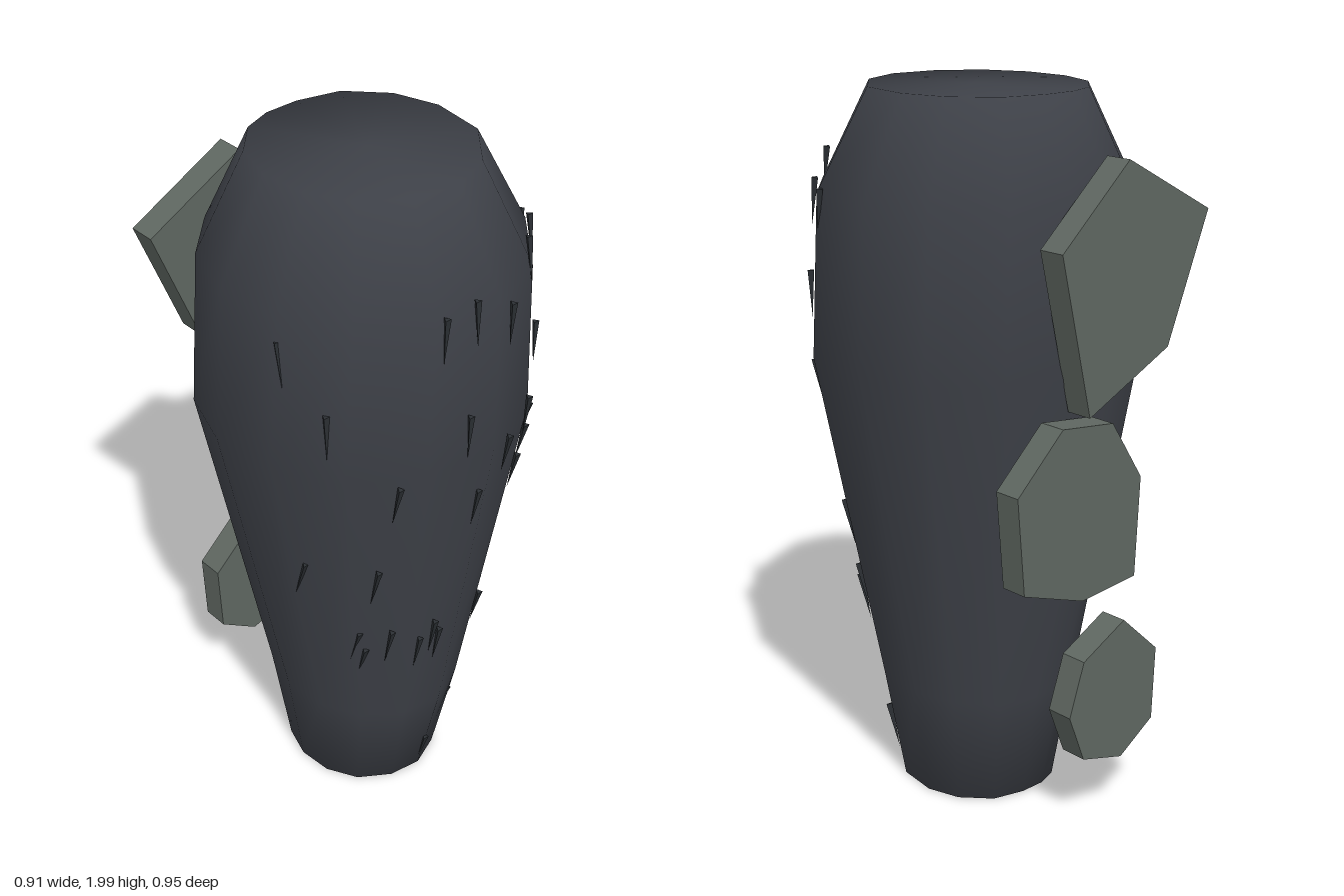
import * as THREE from 'three';

const mat = (name, color) => {
  const m = new THREE.MeshStandardMaterial({ color });
  m.name = name;
  return m;
};

// Slightly irregular 14-sided outline, in units of the half width and half depth
const outline = [
  [1, -0.15], [0.93, 0.39], [0.55, 0.82], [0.11, 1], [-0.34, 0.94], [-0.74, 0.69], [-0.96, 0.3],
  [-1, -0.15], [-0.86, -0.57], [-0.55, -0.88], [-0.25, -0.99], [0.1, -1], [0.53, -0.9], [0.86, -0.57],
];

// Rings: height, half width, back z, front z
const rings = [
  [0.01, 0.214, -0.205, 0.243],
  [0.33, 0.262, -0.262, 0.318],
  [1.29, 0.455, -0.41, 0.466],
  [1.73, 0.424, -0.398, 0.468],
  [2.0, 0.288, -0.28, 0.328],
];

function bodyGeometry() {
  const n = outline.length, pos = [], index = [];
  for (const [y, w, back, front] of rings) {
    for (const [u, v] of outline) pos.push(u * w, y, (front + back) / 2 + v * (front - back) / 2);
  }
  const bottom = pos.length / 3, top = bottom + 1, last = (rings.length - 1) * n;
  pos.push(0, 0.01, 0.02, 0, 2, 0.024);
  for (let j = 0; j < n; j++) {
    const k = (j + 1) % n;
    for (let r = 0; r < rings.length - 1; r++) {
      const a = r * n, b = a + n;
      index.push(a + j, b + j, a + k, a + k, b + j, b + k);
    }
    index.push(bottom, j, k, top, last + k, last + j);
  }
  const g = new THREE.BufferGeometry();
  g.setAttribute('position', new THREE.Float32BufferAttribute(pos, 3));
  g.setIndex(index);
  g.computeVertexNormals();
  return g;
}

// Front surface depth and slope of the body at a point
function frontZ(x, y) {
  let i = 0;
  while (i < rings.length - 2 && y > rings[i + 1][0]) i++;
  const t = (y - rings[i][0]) / (rings[i + 1][0] - rings[i][0]);
  const [, w, back, front] = rings[i].map((v, k) => THREE.MathUtils.lerp(v, rings[i + 1][k], t));
  const u = Math.min(Math.abs(x) / w, 0.98);
  return (front + back) / 2 + (front - back) / 2 * Math.sqrt(1 - u * u);
}

// Flat stone plates on the back: corner points in x, y
const plates = {
  upperPlate: [[-0.07, 1.85], [-0.37, 1.69], [-0.23, 1.34], [0.055, 1.2], [0.16, 1.64]],
  middlePlate: [[0.305, 1.04], [0.15, 1.19], [-0.03, 1.17], [-0.14, 1.0], [-0.125, 0.72], [0.07, 0.7], [0.28, 0.77]],
  lowerPlate: [[0.06, 0.52], [-0.09, 0.6], [-0.22, 0.48], [-0.21, 0.27], [-0.09, 0.19], [0.055, 0.23], [0.11, 0.37]],
};

// Fur tufts on the front: x, y of the middle
const tufts = [
  [-0.41, 1.6], [-0.36, 1.42], [-0.22, 1.2], [-0.04, 1.37], [-0.03, 1.7], [-0.12, 1.68], [0.1, 1.64],
  [0.22, 1.75], [0.33, 1.43], [0.37, 1.7], [0.4, 1.68], [0.22, 1.29], [0.25, 1.17], [0.23, 1.08],
  [0.32, 1.18], [0.02, 1.1], [0.12, 1.23], [-0.23, 0.89], [-0.35, 0.89], [-0.24, 0.64], [-0.22, 0.57],
  [-0.17, 0.64], [-0.09, 0.59], [-0.05, 0.64], [-0.03, 0.6], [0.18, 0.58], [0.25, 0.55], [0.28, 0.6],
  [0.32, 0.8], [0.02, 0.08], [0.18, 0.13],
];

export function createModel() {
  const model = new THREE.Group();
  model.name = 'armouredLimb';
  const hide = mat('dark hide', 0x3d4047);
  const stone = mat('grey green stone', 0x5f6761);
  const fur = mat('dark fur', 0x2b2f33);
  stone.flatShading = true;
  fur.flatShading = true;

  const add = (name, geometry, material, parent = model) => {
    const mesh = new THREE.Mesh(geometry, material);
    mesh.name = name;
    parent.add(mesh);
    return mesh;
  };

  add('body', bodyGeometry(), hide);

  for (const [name, points] of Object.entries(plates)) {
    const shape = new THREE.Shape(points.map(([x, y]) => new THREE.Vector2(x, y)));
    const g = new THREE.ExtrudeGeometry(shape, { depth: 0.08, bevelEnabled: false });
    add(name, g.translate(0, 0, -0.48), stone);
  }

  // Thin three-sided spikes, point down, lying along the surface
  const group = new THREE.Group();
  group.name = 'furTufts';
  model.add(group);
  const spike = new THREE.ConeGeometry(0.011, 0.13, 3).rotateX(Math.PI);
  for (const [x, y] of tufts) {
    const tuft = add('tuft', spike, fur, group);
    const z = frontZ(x, y);
    const slope = frontZ(x, y + 0.05) - frontZ(x, y - 0.05);
    tuft.position.set(x, Math.max(y, 0.066), z);
    tuft.rotation.x = Math.atan2(THREE.MathUtils.clamp(slope, -0.02, 0.03), 0.1) + 0.04;
  }
  return model;
}
